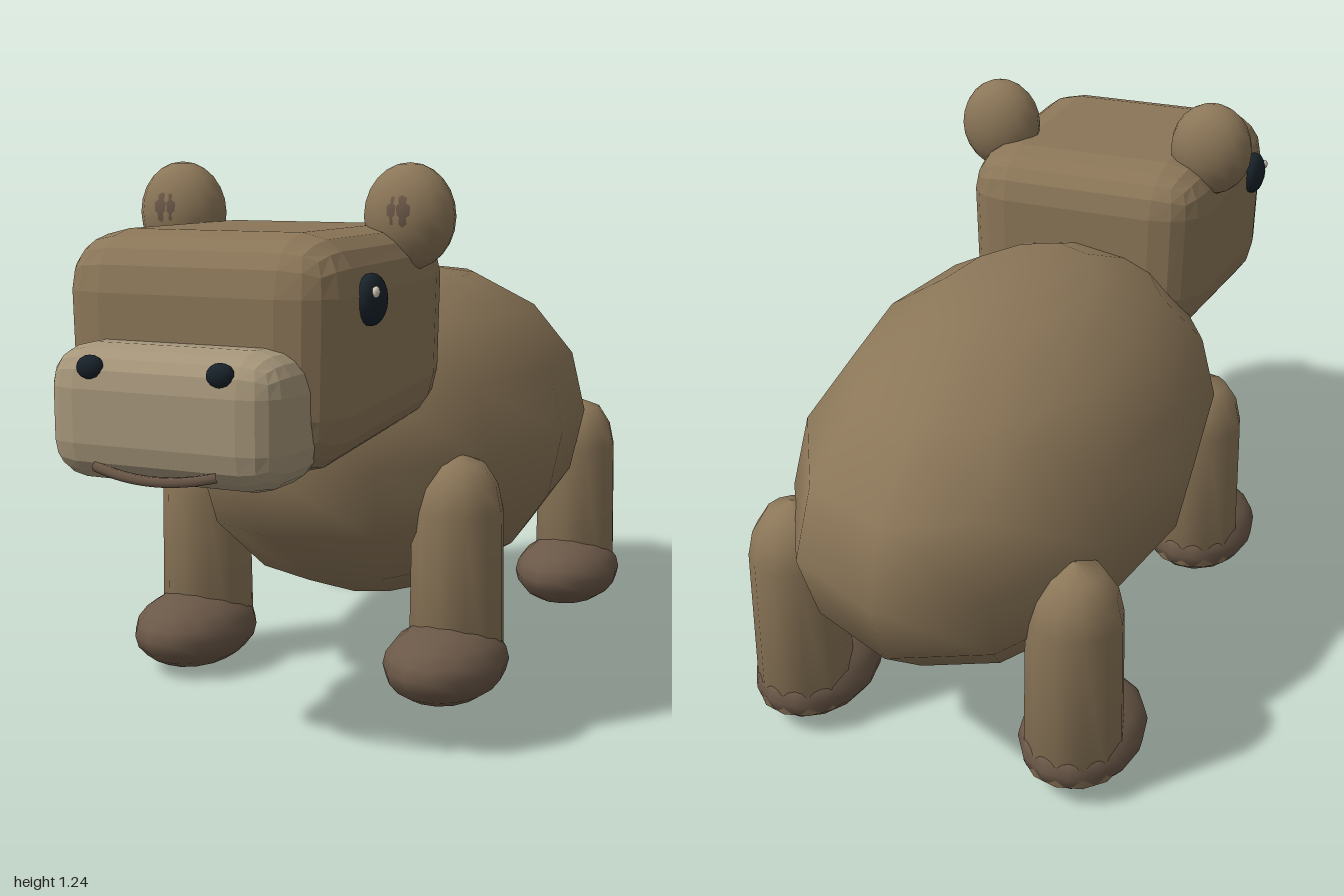
import * as THREE from 'three';
import { RoundedBoxGeometry } from 'three/addons/geometries/RoundedBoxGeometry.js';

const mat = (color, flatShading = false) => new THREE.MeshStandardMaterial({ color, flatShading });

export function createModel() {
  const model = new THREE.Group();
  const hide = mat(0x8b7658), hideFlat = mat(0x8b7658, true), pale = mat(0xa6967a, true);
  const dark = mat(0x6b5848), black = mat(0x18222a), glint = mat(0xd8d0c0);

  const add = (name, geometry, material, x = 0, y = 0, z = 0) => {
    const mesh = new THREE.Mesh(geometry, material);
    mesh.name = name;
    mesh.position.set(x, y, z);
    model.add(mesh);
    return mesh;
  };
  const ellipsoid = (name, material, pos, radii, w = 12, h = 8) =>
    add(name, new THREE.SphereGeometry(1, w, h).scale(...radii), material, ...pos);

  // Barrel body
  ellipsoid('body', hide, [0, 0.555, -0.23], [0.445, 0.42, 0.77]);

  // Blocky head, narrower at the jaw and back, jaw rising towards the neck
  const headGeo = new RoundedBoxGeometry(0.66, 0.49, 0.69, 2, 0.125);
  const p = headGeo.attributes.position;
  for (let i = 0; i < p.count; i++) {
    const low = THREE.MathUtils.clamp(0.5 - p.getY(i) / 0.49, 0, 1);
    const back = THREE.MathUtils.clamp(0.5 - p.getZ(i) / 0.69, 0, 1);
    p.setX(i, p.getX(i) * (1 - 0.04 * low) * (1 - 0.05 * back));
    p.setY(i, p.getY(i) + 0.06 * low * back * back);
  }
  headGeo.computeVertexNormals();
  add('head', headGeo, hideFlat, 0, 0.855, 0.515);

  // Muzzle
  add('muzzle', new RoundedBoxGeometry(0.54, 0.28, 0.255, 2, 0.085), pale, 0, 0.74, 0.858);

  // Mouth
  const smile = new THREE.QuadraticBezierCurve3(
    new THREE.Vector3(-0.14, 0.64, 0.975),
    new THREE.Vector3(0, 0.605, 1.0),
    new THREE.Vector3(0.14, 0.64, 0.975));
  add('mouth', new THREE.TubeGeometry(smile, 12, 0.011, 6), dark);

  // Leg outline: foot end, shaft, rounded top
  const legProfile = [[0, 0.06], [0.113, 0.06], [0.107, 0.44], [0.094, 0.5], [0.062, 0.55], [0, 0.573]]
    .map(([r, y]) => new THREE.Vector2(r, y));

  for (const [side, s] of [['left', 1], ['right', -1]]) {
    // Ears
    ellipsoid(side + 'Ear', hide, [s * 0.285, 1.12, 0.38], [0.104, 0.116, 0.08], 16, 12);
    ellipsoid(side + 'InnerEar', dark, [s * 0.287, 1.125, 0.428], [0.057, 0.063, 0.032], 14, 10);
    // Eyes
    ellipsoid(side + 'Eye', black, [s * 0.325, 0.965, 0.67], [0.03, 0.054, 0.054], 14, 10);
    ellipsoid(side + 'EyeGlint', glint, [s * 0.348, 0.983, 0.697], [0.008, 0.012, 0.012], 8, 6);
    // Nostrils
    ellipsoid(side + 'Nostril', black, [s * 0.148, 0.838, 0.972], [0.03, 0.025, 0.022], 12, 8);
    // Legs and feet
    for (const [end, z] of [['Front', 0.21], ['Hind', -0.71]]) {
      add(side + end + 'Leg', new THREE.LatheGeometry(legProfile, 12), hide, s * 0.336, 0, z);
      ellipsoid(side + end + 'Foot', dark, [s * 0.335, 0.093, z + 0.062], [0.14, 0.093, 0.184], 14, 10);
    }
  }
  return model;
}
